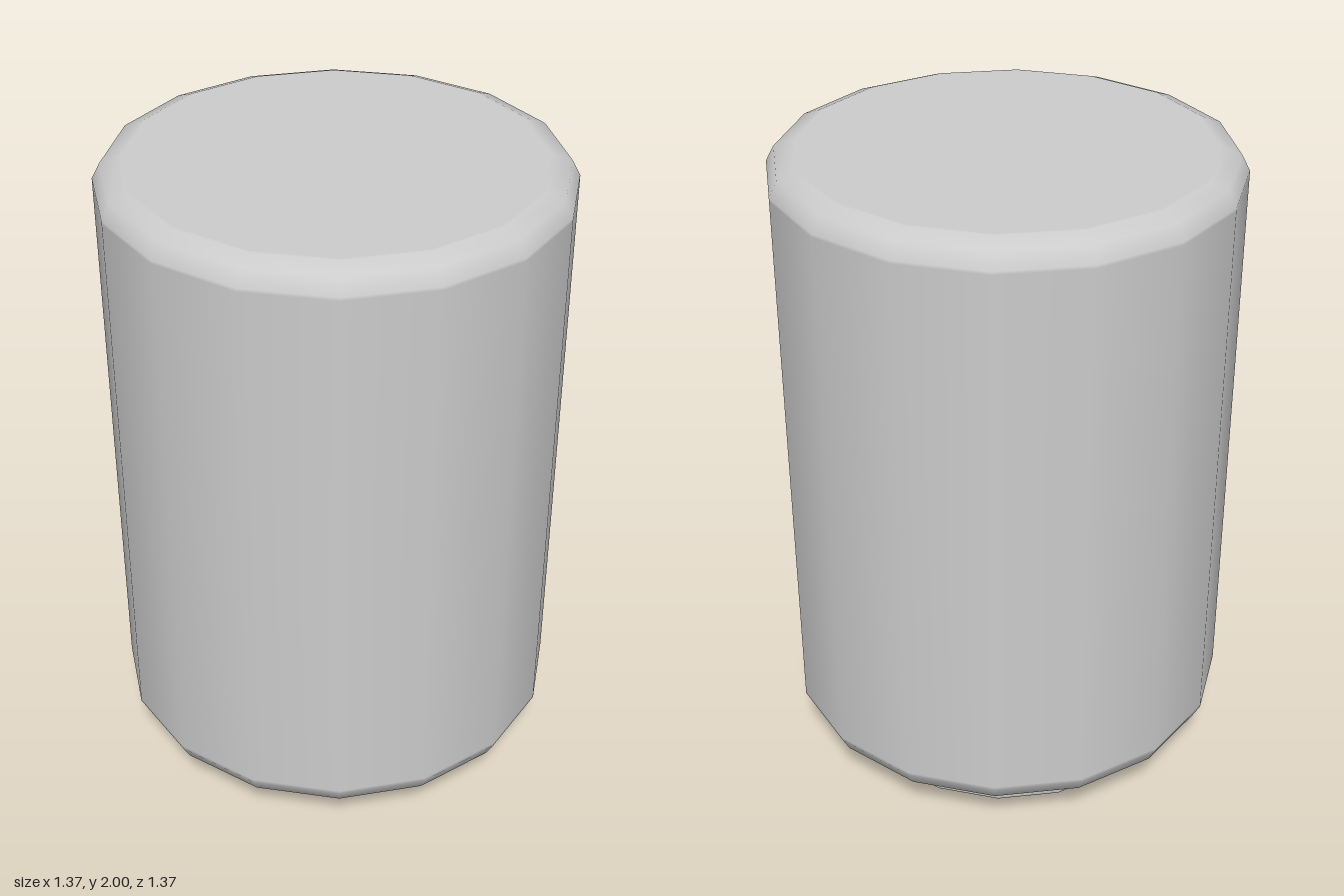
import * as THREE from 'three';

const SIDES = 16;
const material = new THREE.MeshStandardMaterial({ color: 0xcccccc });

// Solid turned around y with bevelled rims; bevel = [width, height].
function bevelledDrum(name, radius, y0, y1, [w, h]) {
  const rim = [
    [radius - w, 0], [radius - w * 0.32, h * 0.3], [radius, h],
  ];
  const hold = 0.01; // support loops keep the caps and wall evenly shaded
  const lower = [[0, 0], [radius - w - hold, 0], ...rim, [radius, h + hold]];
  const points = [
    ...lower.map(([r, d]) => new THREE.Vector2(r, y0 + d)),
    ...lower.slice().reverse().map(([r, d]) => new THREE.Vector2(r, y1 - d)),
  ];
  const mesh = new THREE.Mesh(new THREE.LatheGeometry(points, SIDES), material);
  mesh.name = name;
  return mesh;
}

export function createModel() {
  const model = new THREE.Group();
  model.name = 'capsuleDrum';
  // Main drum
  model.add(bevelledDrum('body', 0.685, 0.145, 2, [0.075, 0.065]));
  // Narrower foot, sunk slightly into the body
  model.add(bevelledDrum('foot', 0.5, 0, 0.18, [0.01, 0.01]));
  return model;
}
